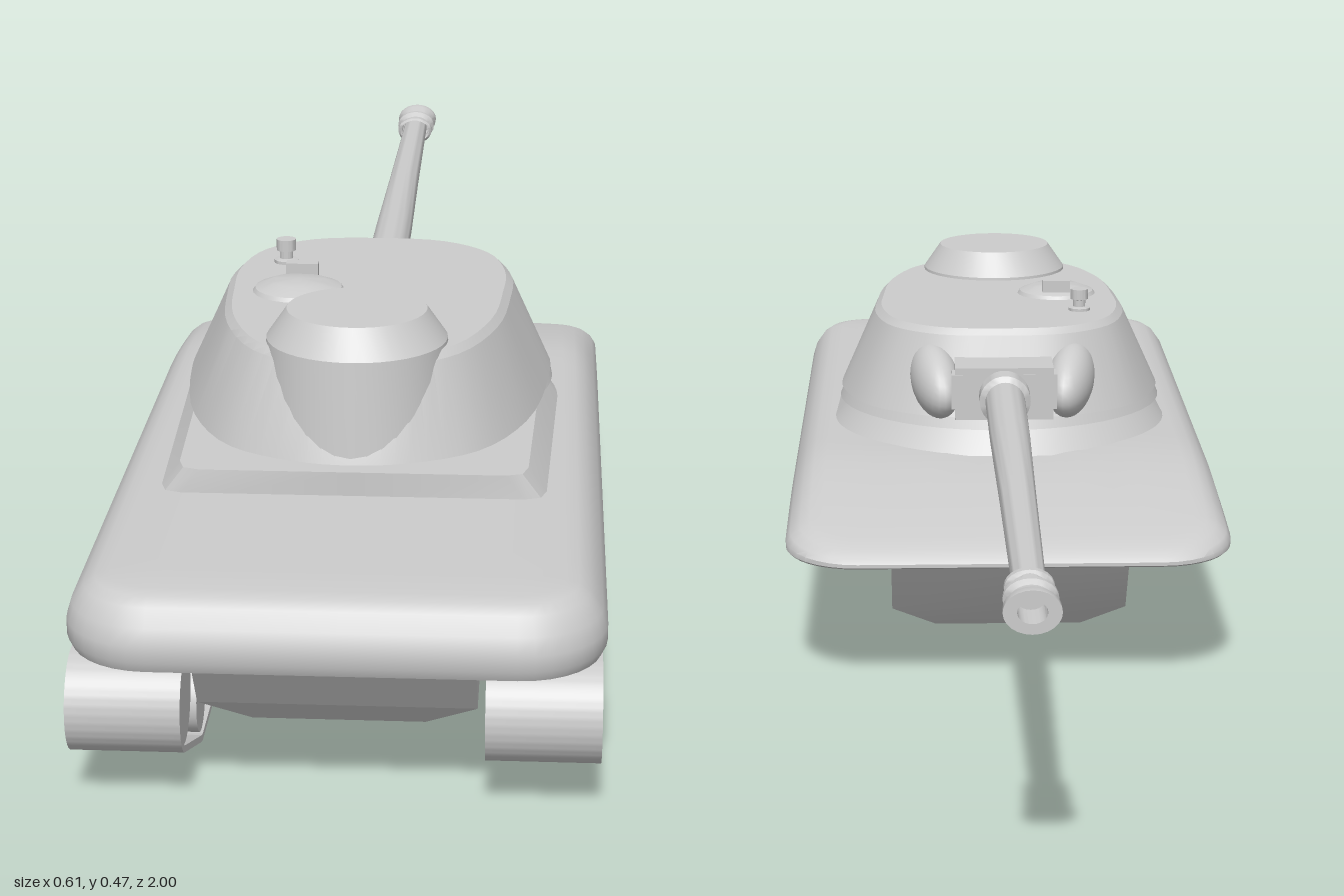
import * as THREE from 'three';
import { toCreasedNormals } from 'three/addons/utils/BufferGeometryUtils.js';

const material = new THREE.MeshStandardMaterial({ color: 0xcccccc, side: THREE.DoubleSide });

function add(parent, name, geometry, x = 0, y = 0, z = 0) {
  const mesh = new THREE.Mesh(geometry, material);
  mesh.name = name;
  mesh.position.set(x, y, z);
  parent.add(mesh);
  return mesh;
}

// Closes a half outline of [x, z] points (from -z round to +z) by mirroring it in x
const mirror = (half) => [
  ...half.slice().reverse(),
  ...half.slice(1, -1).map(([x, z]) => [-x, z]),
];

// Skins a stack of [outline, height] rings, capped at both ends; height may depend on z
function loft(rings, crease = 0.5) {
  const n = rings[0][0].length;
  const pos = [], index = [];
  for (const [outline, h] of rings) {
    for (const [x, z] of outline) pos.push(x, typeof h === 'function' ? h(z) : h, z);
  }
  for (let i = 0; i < rings.length - 1; i++) {
    for (let j = 0; j < n; j++) {
      const a = i * n + j, b = i * n + (j + 1) % n;
      index.push(a, b, b + n, a, b + n, a + n);
    }
  }
  [0, rings.length - 1].forEach((r, top) => {
    const [outline, h] = rings[r];
    const zs = outline.map((p) => p[1]);
    const zc = (Math.min(...zs) + Math.max(...zs)) / 2;
    const c = pos.length / 3;
    pos.push(0, typeof h === 'function' ? h(zc) : h, zc);
    for (let j = 0; j < n; j++) {
      const a = r * n + j, b = r * n + (j + 1) % n;
      if (top) index.push(c, a, b); else index.push(c, b, a);
    }
  });
  const g = new THREE.BufferGeometry();
  g.setAttribute('position', new THREE.Float32BufferAttribute(pos, 3));
  g.setIndex(index);
  return toCreasedNormals(g, crease);
}

// Rounded deck outline, shrunk by an inset
function deckOutline(inset) {
  const hw = 0.305 - inset, z0 = -0.285 + inset, z1 = 1 - inset;
  const r = Math.max(0.1 - inset, 0.004);
  const half = [[0, z0]];
  const corner = (zc, start) => {
    for (let i = 0; i <= 8; i++) {
      const a = start + (i / 8) * Math.PI / 2;
      half.push([hw - r + r * Math.cos(a), zc + r * Math.sin(a)]);
    }
  };
  corner(z0 + r, -Math.PI / 2);
  for (let i = 1; i < 18; i++) half.push([hw, THREE.MathUtils.lerp(z0 + r, z1 - r, i / 18)]);
  corner(z1 - r, 0);
  half.push([0, z1]);
  return mirror(half);
}

// Smooth mirrored outline through a few half points
function smoothOutline(points) {
  const loop = mirror(points).map(([x, z]) => new THREE.Vector3(x, 0, z));
  return new THREE.CatmullRomCurve3(loop, true).getPoints(loop.length * 4).slice(0, -1).map((p) => [p.x, p.z]);
}

// Side outline of a track belt, shrunk by an offset
function beltPath(Type, o) {
  const p = new Type();
  p.moveTo(0.5 + o * 0.3, 0.175 - o);
  p.lineTo(0.915, 0.175 - o);
  p.absarc(0.915, 0.115, 0.06 - o, Math.PI / 2, -1.17, true);
  p.absarc(0.775, 0.056, 0.056 - o, -1.17, -Math.PI / 2, true);
  p.absarc(0.43, 0.056, 0.056 - o, -Math.PI / 2, -3.84, true);
  p.closePath();
  return p;
}

const lathe = (points, segments = 32) =>
  toCreasedNormals(new THREE.LatheGeometry(points.map(([r, y]) => new THREE.Vector2(r, y)), segments), 0.5);

function buildHull(model) {
  // Deck slab, its top falling away towards -z
  const fall = (z) => 1 - 0.75 * Math.pow(Math.max(0, (0.05 - z) / 0.335), 1.4);
  const layers = [[0.006, 0], [0, 0.15], [0, 0.38], [0.006, 0.62], [0.02, 0.86], [0.033, 0.96],
    [0.05, 1], [0.12, 1], [0.2, 1], [0.29, 1]];
  add(model, 'deck', loft(layers.map(([inset, t]) => [deckOutline(inset), (z) => 0.183 + 0.082 * t * fall(z)]), 0.7));

  // Lower hull tub
  const rect = (x, z0, z1) => mirror([[0, z0], [x, z0], [x, z1], [0, z1]]);
  add(model, 'lowerHull', loft([
    [rect(0.1, -0.18, 0.87), 0.073], [rect(0.16, -0.208, 0.9), 0.105], [rect(0.16, -0.27, 0.96), 0.186],
  ], 0.1));

  // Turret platform
  const platform = (s) => {
    const half = [];
    for (let i = 0; i <= 16; i++) {
      const a = (i / 16) * Math.PI / 2;
      half.push([(0.255 - s) * Math.sin(a), 0.255 - (0.25 - s) * Math.cos(a)]);
    }
    half.push([0.242 - s, 0.62], [0.235 - s, 0.643], [0.215 - s, 0.65], [0, 0.65]);
    return mirror(half);
  };
  add(model, 'turretPlatform', loft([[platform(0), 0.255], [platform(0.03), 0.295]]));
}

function buildTrack(model, side) {
  const track = new THREE.Group();
  track.name = side > 0 ? 'leftTrack' : 'rightTrack';
  model.add(track);
  const shape = beltPath(THREE.Shape, 0);
  shape.holes.push(beltPath(THREE.Path, 0.008));
  const belt = new THREE.ExtrudeGeometry(shape, { depth: 0.13, bevelEnabled: false, curveSegments: 16 });
  belt.rotateY(-Math.PI / 2);
  add(track, 'belt', toCreasedNormals(belt, 0.5), side > 0 ? 0.3 : -0.17);

  const wheel = (name, z, y, r) => {
    const g = new THREE.CylinderGeometry(r, r, 0.126, 28);
    g.rotateZ(Math.PI / 2);
    add(track, name, g, side * 0.235, y, z);
  };
  wheel('idler', 0.915, 0.115, 0.052);
  for (const z of [0.775, 0.663, 0.545, 0.43]) wheel('roadWheel', z, 0.056, 0.044);
  for (const z of [0.725, 0.61, 0.495]) wheel('returnRoller', z, 0.145, 0.021);
}

function buildTurret(model) {
  const turret = new THREE.Group();
  turret.name = 'turret';
  model.add(turret);

  // Cast body narrowing towards the roof
  const low = smoothOutline([[0, 0.035], [0.1, 0.045], [0.19, 0.11], [0.233, 0.22], [0.235, 0.32],
    [0.208, 0.5], [0.15, 0.615], [0.07, 0.663], [0, 0.675]]);
  const high = smoothOutline([[0, 0.085], [0.09, 0.097], [0.15, 0.15], [0.175, 0.24], [0.174, 0.34],
    [0.162, 0.46], [0.12, 0.57], [0.06, 0.62], [0, 0.63]]);
  const blend = (t) => low.map(([x, z], i) => [x + (high[i][0] - x) * t, z + (high[i][1] - z) * t]);
  add(turret, 'turretBody', loft([[low, 0.313], [blend(0.84), 0.424], [high, 0.433]], 0.35));
  add(turret, 'turretRing', new THREE.CylinderGeometry(0.233, 0.24, 0.018, 48), 0, 0.306, 0.262);

  // Commander's cupola bulging out of the rear wall
  add(turret, 'cupola', lathe([[0, 0.315], [0.122, 0.315], [0.111, 0.437], [0.086, 0.473], [0, 0.473]], 40), 0, 0, 0.551);

  // Roof hatch with its block, and a periscope
  add(turret, 'hatch', lathe([[0.06, 0.432], [0.056, 0.438], [0.035, 0.446], [0, 0.449]], 24), -0.09, 0, 0.345);
  add(turret, 'hatchBlock', new THREE.BoxGeometry(0.042, 0.018, 0.018), -0.088, 0.451, 0.308);
  add(turret, 'periscope', lathe([[0.016, 0.432], [0.016, 0.437], [0.009, 0.439], [0.009, 0.449],
    [0.013, 0.45], [0.013, 0.465], [0, 0.465]], 20), -0.118, 0, 0.213);

  // Gun mount with a rounded cheek on each side
  add(turret, 'mantlet', new THREE.BoxGeometry(0.14, 0.075, 0.1), 0, 0.357, 0.045);
  add(turret, 'mantletShield', new THREE.BoxGeometry(0.15, 0.05, 0.035), 0, 0.36, 0.012);
  for (const side of [-1, 1]) {
    const cheek = add(turret, 'cheek', new THREE.SphereGeometry(1, 24, 16), side * 0.098, 0.36, 0.075);
    cheek.scale.set(0.034, 0.046, 0.078);
    cheek.rotation.set(-0.3, side * 0.2, 0, 'YXZ');
  }
}

function buildGun(model) {
  const gun = new THREE.Group();
  gun.name = 'gun';
  gun.position.y = 0.355;
  gun.rotation.x = -Math.PI / 2; // local y runs along -z
  model.add(gun);
  gun.position.z = 0;
  add(gun, 'barrel', lathe([[0.036, -0.02], [0.036, 0.04], [0.028, 0.045], [0.027, 0.25],
    [0.023, 0.55], [0.019, 0.93]]));
  // Muzzle brake with flared baffles and an open bore
  const brake = add(gun, 'muzzleBrake', lathe([[0.019, 0.9], [0.022, 0.905], [0.022, 0.915], [0.018, 0.92],
    [0.018, 0.936], [0.024, 0.945], [0.024, 0.953], [0.019, 0.96], [0.019, 0.972], [0.025, 0.986],
    [0.025, 1], [0.013, 1], [0.013, 0.95], [0, 0.95]], 24));
  brake.scale.x = 1.3;
}

export function createModel() {
  const model = new THREE.Group();
  model.name = 'tank';
  buildHull(model);
  buildTrack(model, 1);
  buildTrack(model, -1);
  buildTurret(model);
  buildGun(model);
  return model;
}
